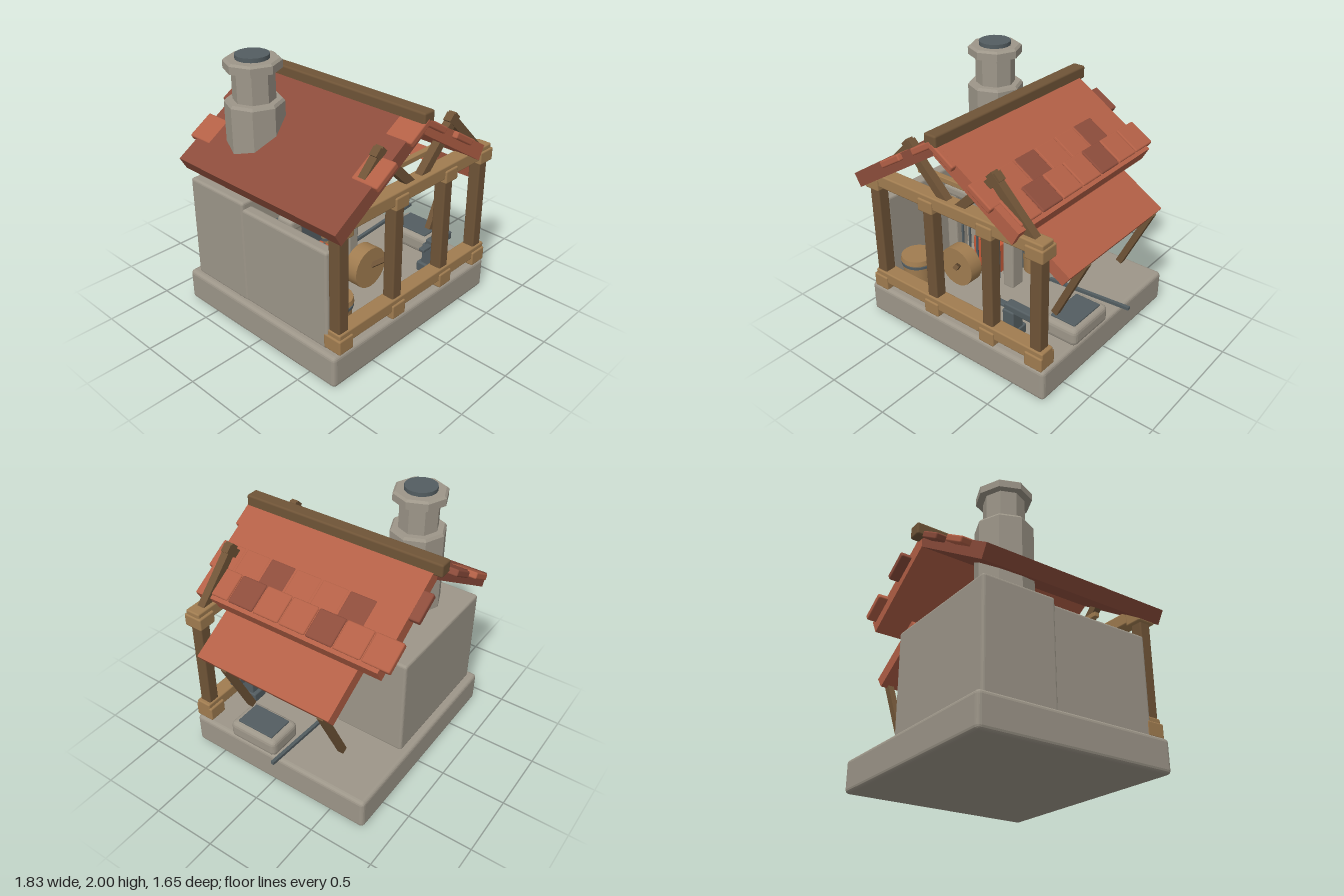
import * as THREE from 'three';
import { RoundedBoxGeometry } from 'three/addons/geometries/RoundedBoxGeometry.js';

export function createModel() {
  const root = new THREE.Group();
  root.name = 'smithy';
  const mat = (name, color, flatShading = false) => {
    const m = new THREE.MeshStandardMaterial({ color, flatShading });
    m.name = name;
    return m;
  };
  const stone = mat('stone', 0x9d9689, true);
  const steel = mat('steel', 0x535d61);
  const lightWood = mat('lightWood', 0xa07c50);
  const darkWood = mat('darkWood', 0x6f5437);
  const roofLight = mat('roofLight', 0xb36046);
  const roofDark = mat('roofDark', 0x8c4c3b);
  const ember = mat('ember', 0xc85a38);

  const add = (name, geo, m, x = 0, y = 0, z = 0) => {
    const mesh = new THREE.Mesh(geo, m);
    mesh.name = name;
    mesh.position.set(x, y, z);
    root.add(mesh);
    return mesh;
  };
  // Softened box from its extents
  const block = (name, m, x0, x1, y0, y1, z0, z1, r = 0.012) =>
    add(name, new RoundedBoxGeometry(x1 - x0, y1 - y0, z1 - z0, 2, r), m,
      (x0 + x1) / 2, (y0 + y1) / 2, (z0 + z1) / 2);
  // Square bar between two points
  const bar = (name, m, a, b, w, d) => {
    const p = new THREE.Vector3(...a), q = new THREE.Vector3(...b);
    const dir = q.clone().sub(p);
    const mesh = add(name, new THREE.BoxGeometry(w, dir.length(), d), m);
    mesh.position.copy(p).add(q).multiplyScalar(0.5);
    mesh.quaternion.setFromUnitVectors(new THREE.Vector3(0, 1, 0), dir.normalize());
    return mesh;
  };
  // Profile in x, y drawn out along z
  const prism = (name, m, pts, z0, z1) => {
    const shape = new THREE.Shape(pts.map(p => new THREE.Vector2(...p)));
    const geo = new THREE.ExtrudeGeometry(shape, { depth: z1 - z0, bevelEnabled: false });
    return add(name, geo, m, 0, 0, z0);
  };
  const drum = (name, m, r0, r1, y0, y1, x, z, n = 20) =>
    add(name, new THREE.CylinderGeometry(r1, r0, y1 - y0, n), m, x, (y0 + y1) / 2, z);

  // Stone floor, back block and left wall
  block('foundation', stone, -0.9, 0.785, 0, 0.25, -0.79, 0.75, 0.03);
  block('forgeBlock', stone, -0.855, 0.195, 0.24, 1.05, -0.73, -0.16, 0.02);
  block('sideWall', stone, -0.85, -0.76, 0.24, 1.0, -0.2, 0.64, 0.02);

  // Fireplace
  block('mantel', stone, -0.68, 0.03, 0.86, 0.945, -0.01, 0.135, 0.025);
  block('leftPillar', stone, -0.09, 0.01, 0.24, 0.88, 0, 0.127, 0.015);
  block('rightPillar', stone, -0.665, -0.565, 0.24, 0.88, 0, 0.127, 0.015);
  block('hearthBack', steel, -0.57, -0.09, 0.25, 0.81, -0.18, -0.14, 0.005);
  block('embers', ember, -0.46, -0.2, 0.25, 0.51, -0.07, 0.05, 0.01);
  for (let i = 0; i < 6; i++) {
    const x = -0.54 + i * 0.075;
    block('grateBar', steel, x - 0.008, x + 0.008, 0.25, 0.6, 0.075, 0.091, 0.003);
  }

  // Chimney
  const cx = -0.54, cz = -0.345;
  drum('chimneyBase', stone, 0.21, 0.21, 1.0, 1.66, cx, cz, 8);
  drum('chimneyShoulder', stone, 0.21, 0.195, 1.66, 1.68, cx, cz, 8);
  drum('chimneyStack', stone, 0.15, 0.15, 1.67, 1.91, cx, cz, 8);
  drum('chimneyCap', stone, 0.203, 0.203, 1.9, 1.955, cx, cz, 8);
  drum('chimneyCapEdge', stone, 0.203, 0.185, 1.955, 1.97, cx, cz, 8);
  drum('chimneyFlue', steel, 0.12, 0.12, 1.96, 2.0, cx, cz, 16);

  // Front timber frame
  block('sillBeam', lightWood, -0.84, 0.77, 0.31, 0.405, 0.625, 0.745);
  block('headBeam', lightWood, -0.84, 0.76, 1.155, 1.255, 0.625, 0.745);
  [-0.785, -0.25, 0.28, 0.695].forEach((x, i) => {
    const w = i === 3 ? 0.075 : 0.068;
    block('frontPost', darkWood, x - 0.046, x + 0.046, 0.38, 1.17, 0.637, 0.732);
    block('sillJoint', lightWood, x - w, x + w, 0.255, 0.368, 0.607, 0.757);
    block('headJoint', lightWood, x - w, x + w, 1.12, 1.22, 0.607, 0.757);
  });
  block('tieBar', lightWood, -0.42, 0.38, 1.33, 1.37, 0.59, 0.635, 0.006);

  // Crossed braces poking through the roof
  for (const x of [-0.42, 0.335]) {
    for (const s of [-1, 1]) {
      bar('roofBrace', darkWood, [x - s * 0.035, 1.585, 0.68 + s * 0.001],
        [x + s * 0.34, 1.21, 0.68 + s * 0.001], 0.065, 0.06);
    }
  }

  // Main roof slopes and ridge
  prism('rightRoof', roofDark, [[-0.1, 1.735], [-0.92, 1.22], [-0.865, 1.125], [-0.1, 1.615]], -0.75, 0.785);
  prism('leftRoof', roofLight, [[-0.1, 1.735], [-0.1, 1.615], [0.55, 1.2], [0.605, 1.3]], -0.75, 0.785);
  block('ridgeBeam', darkWood, -0.147, -0.042, 1.68, 1.78, -0.815, 0.82, 0.015);

  // Roof tiles
  const slope = Math.atan(0.62);
  const tile = (x, z, m, lift) => {
    const s = Math.sign(x + 0.1);
    const h = lift - 0.025;
    const t = add('roofTile', new RoundedBoxGeometry(0.22, 0.05, 0.215, 2, 0.012), m,
      x + s * Math.sin(slope) * h,
      1.735 - Math.abs(x + 0.1) * 0.62 + Math.cos(slope) * h, z);
    t.rotation.z = -s * slope;
  };
  for (let i = 0; i < 7; i++) {
    tile(0.485, 0.62 - i * 0.2225, i % 3 === 1 ? roofDark : roofLight, 0.014);
    if (i < 6) tile(0.32, 0.715 - i * 0.2225, i === 2 || i === 5 ? roofDark : roofLight, 0.004);
  }
  // Tile ends showing at the gables
  tile(0.01, 0.715, roofLight, 0);
  tile(-0.19, 0.715, roofLight, 0);
  tile(-0.505, 0.715, roofLight, 0);
  tile(-0.665, -0.72, roofLight, 0);
  tile(-0.35, -0.72, roofDark, 0);
  tile(0.16, -0.72, roofDark, 0);

  // Side awning with its props
  prism('awning', roofLight, [[0.857, 0.97], [0.36, 1.27], [0.305, 1.187], [0.8, 0.89]], -0.55, 0.585);
  for (const z of [0.352, -0.475]) {
    bar('awningProp', darkWood, [0.825, 0.95, z], [0.585, 0.44, z], 0.05, 0.047);
  }

  // Barrels
  for (const [x, z, r] of [[-0.63, 0.5, 0.12], [-0.02, -0.21, 0.115]]) {
    drum('barrelBody', lightWood, r * 0.92, r, 0.25, 0.46, x, z);
    drum('barrelHoop', steel, r + 0.008, r + 0.008, 0.43, 0.45, x, z);
    drum('barrelLid', lightWood, r + 0.012, r + 0.005, 0.465, 0.5, x, z);
  }

  // Grinding wheel and crank
  const wheel = drum('grindWheel', lightWood, 0.155, 0.155, 0.475, 0.585, -0.245, 0.425, 24);
  wheel.rotation.x = Math.PI / 2;
  bar('wheelCrank', darkWood, [-0.23, 0.54, 0.47], [-0.14, 0.63, 0.59], 0.035, 0.035);

  // Anvil
  block('anvilFoot', steel, 0.29, 0.42, 0.25, 0.33, 0.47, 0.63);
  block('anvilWaist', steel, 0.31, 0.41, 0.31, 0.49, 0.5, 0.61);
  block('anvilTop', steel, 0.32, 0.55, 0.47, 0.535, 0.523, 0.6);
  block('anvilHorn', steel, 0.225, 0.34, 0.48, 0.505, 0.535, 0.585, 0.008);

  // Water trough and leaning rod
  block('trough', stone, 0.5, 0.79, 0.24, 0.385, -0.015, 0.4, 0.04);
  block('troughWater', steel, 0.54, 0.75, 0.37, 0.397, 0.035, 0.35, 0.006);
  bar('ironRod', steel, [0.2, 0.3, -0.1], [0.912, 0.355, -0.1], 0.024, 0.026);

  return root;
}
